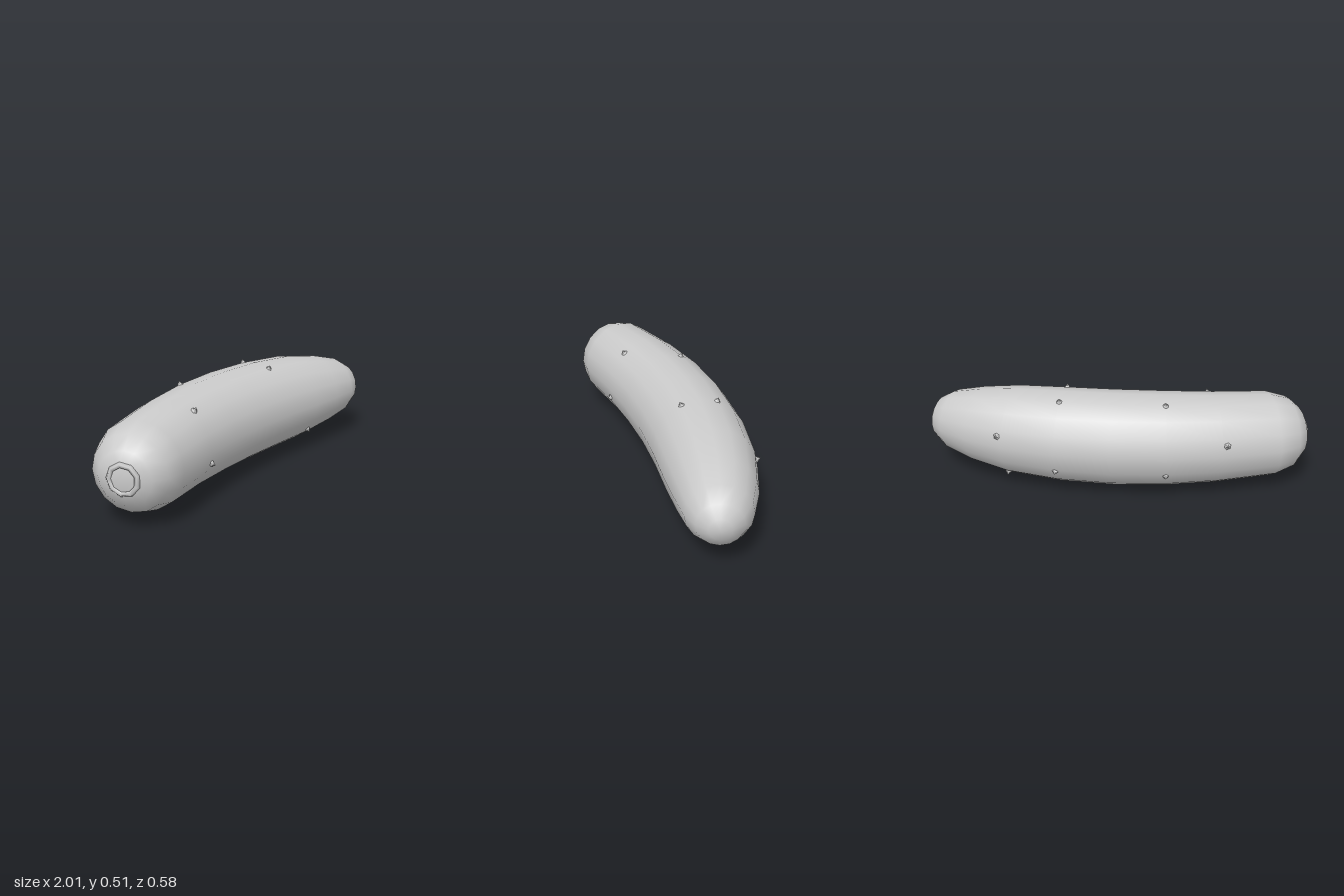
import * as THREE from 'three';

const SIDES = 16, CENTRE_Y = 0.268;

// bent centreline in the horizontal plane
const centre = s => new THREE.Vector3(s, CENTRE_Y, -0.05 + 0.186 * s * s);
// direction across the centreline, towards the front
const across = s => new THREE.Vector3(-0.372 * s, 0, 1).normalize();
const radial = (s, a) => across(s).multiplyScalar(Math.cos(a)).add(new THREE.Vector3(0, Math.sin(a), 0));

// [position along the centreline, radius]: blunt end to tapered end
const profile = [
  [-0.972, 0], [-0.976, 0.06], [-0.957, 0.13], [-0.9, 0.188], [-0.8, 0.222], [-0.52, 0.236],
  [-0.26, 0.246], [0, 0.249], [0.26, 0.246], [0.52, 0.232], [0.72, 0.2], [0.87, 0.16],
  [0.945, 0.112], [0.98, 0.055], [0.988, 0],
];

function radiusAt(s) {
  const i = Math.max(1, profile.findIndex(p => p[0] > s && p[1] >= 0 && p !== profile[0]));
  const [s0, r0] = profile[i - 1], [s1, r1] = profile[i];
  return r0 + (r1 - r0) * (s - s0) / (s1 - s0);
}

function bodyGeometry() {
  const pos = [], index = [];
  for (const [s, r] of profile) {
    for (let j = 0; j < SIDES; j++) {
      const p = centre(s).addScaledVector(radial(s, j / SIDES * Math.PI * 2), r);
      pos.push(p.x, p.y, p.z);
    }
  }
  for (let i = 0; i < profile.length - 1; i++) {
    for (let j = 0; j < SIDES; j++) {
      const k = (j + 1) % SIDES;
      const a = i * SIDES + j, b = i * SIDES + k, c = a + SIDES, d = b + SIDES;
      if (i > 0) index.push(a, c, b);
      if (i < profile.length - 2) index.push(b, c, d);
      else if (i === profile.length - 2) continue;
    }
  }
  const g = new THREE.BufferGeometry();
  g.setAttribute('position', new THREE.Float32BufferAttribute(pos, 3));
  g.setIndex(index);
  g.computeVertexNormals();
  // pole points take the direction of the ends
  const n = g.attributes.normal, last = (profile.length - 1) * SIDES;
  for (let j = 0; j < SIDES; j++) {
    n.setXYZ(j, -0.94, 0, 0.34);
    n.setXYZ(last + j, 0.94, 0, 0.34);
  }
  return g;
}

export function createModel() {
  const group = new THREE.Group();
  group.name = 'pickle';
  const skin = new THREE.MeshStandardMaterial({ color: 0xcccccc });

  const body = new THREE.Mesh(bodyGeometry(), skin);
  body.name = 'body';
  group.add(body);

  // small warts: [position along the centreline, angle in degrees from the front]
  const warts = [
    [-0.26, -90], [0.26, -90], [-0.26, 112], [0.26, 68], [0.26, 112],
    [-0.5, 55], [-0.5, -15], [0.5, -40], [-0.54, 165], [0.54, 165],
    [0.26, -155], [-0.26, -155], [0.52, -128], [-0.52, -100],
  ];
  const wartGeometry = new THREE.ConeGeometry(0.03, 0.04, 6);
  const up = new THREE.Vector3(0, 1, 0);
  for (const [s, deg] of warts) {
    const dir = radial(s, deg * Math.PI / 180);
    const wart = new THREE.Mesh(wartGeometry, skin);
    wart.name = 'wart';
    wart.position.copy(centre(s)).addScaledVector(dir, radiusAt(s) - 0.001);
    wart.quaternion.setFromUnitVectors(up, dir);
    group.add(wart);
  }

  // rough ring left by the stalk on the blunt end
  const scar = new THREE.Mesh(new THREE.TorusGeometry(0.07, 0.014, 5, 9), skin);
  scar.name = 'stalkScar';
  scar.position.copy(centre(-0.973));
  scar.rotation.y = Math.PI / 2 + 0.34;
  group.add(scar);

  return group;
}
